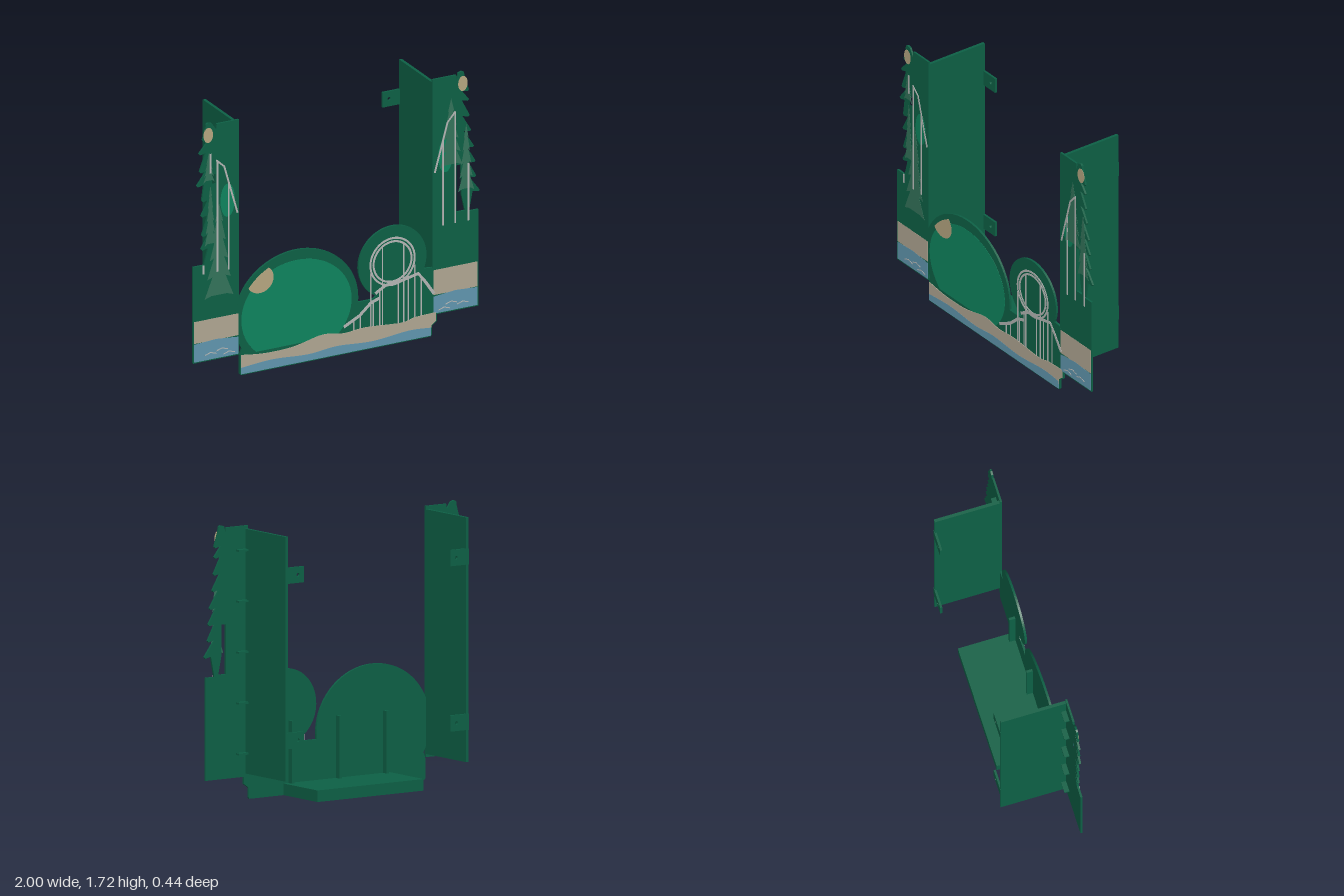
import * as THREE from 'three';

const mat = (color) => new THREE.MeshStandardMaterial({ color, roughness: 0.8 });
const M = {
  green: mat(0x0d6045), bright: mat(0x0e845e), tree: mat(0x33735a),
  sand: mat(0xb0a692), sun: mat(0xb5a680), water: mat(0x6096ae), rail: mat(0xb4b6b4),
};
const FRONT = 0.213; // front face of the plates
const V = (pts) => pts.map(([x, y]) => new THREE.Vector2(x, y));
const rect = (x0, y0, x1, y1) => [[x0, y0], [x1, y0], [x1, y1], [x0, y1]];

// Points of an elliptical arc, angles in degrees
function arc(cx, cy, rx, ry, a0 = 0, a1 = 360, n = 48) {
  const pts = [];
  for (let i = 0; i <= n; i++) {
    if (i === n && a1 - a0 === 360) break;
    const a = THREE.MathUtils.degToRad(a0 + (a1 - a0) * i / n);
    pts.push([cx + rx * Math.cos(a), cy + ry * Math.sin(a)]);
  }
  return pts;
}

// Flat plate cut from an outline, between z0 and z1
function plate(parent, name, pts, material, z0, z1, holes = []) {
  const shape = new THREE.Shape(V(pts));
  holes.forEach((h) => shape.holes.push(new THREE.Path(V(h))));
  const geo = new THREE.ExtrudeGeometry(shape, { depth: z1 - z0, bevelEnabled: false });
  const mesh = new THREE.Mesh(geo, material);
  mesh.name = name;
  mesh.position.z = z0;
  parent.add(mesh);
  return mesh;
}

function box(parent, name, x0, x1, y0, y1, z0, z1) {
  const mesh = new THREE.Mesh(new THREE.BoxGeometry(x1 - x0, y1 - y0, z1 - z0), M.green);
  mesh.position.set((x0 + x1) / 2, (y0 + y1) / 2, (z0 + z1) / 2);
  mesh.name = name;
  parent.add(mesh);
}

// Thin painted layer on the front, stacked by level
const inlay = (parent, name, pts, material, level = 1, holes = []) =>
  plate(parent, name, pts, material, FRONT - 0.002, FRONT + level * 0.0008, holes);

// Painted rail following a polyline
function rail(parent, pts, w = 0.012, level = 4) {
  const p = V(pts), up = [], down = [];
  p.forEach((q, i) => {
    const d = p[Math.min(i + 1, p.length - 1)].clone().sub(p[Math.max(i - 1, 0)]).normalize();
    up.push([q.x - d.y * w / 2, q.y + d.x * w / 2]);
    down.unshift([q.x + d.y * w / 2, q.y - d.x * w / 2]);
  });
  inlay(parent, 'rail', [...up, ...down], M.rail, level);
}

// Painted fir tree with stepped tiers
function fir(parent, cx, y0, y1, half, level = 2) {
  const side = [], n = 5;
  for (let i = 0; i < n; i++) {
    const y = y0 + (y1 - y0) * i / n, w = half * (1 - i / (n + 0.6));
    side.push([w * 0.55, y + 0.015], [w, y]);
  }
  const left = side.map(([x, y]) => [cx - x, y]).reverse();
  inlay(parent, 'paintedTree', [...side.map(([x, y]) => [cx + x, y]), [cx, y1], ...left], M.tree, level);
}

// Tower on one side; s = -1 for the model's right, +1 for its left
function tower(s, d) {
  const g = new THREE.Group();
  g.name = s < 0 ? 'rightTower' : 'leftTower';
  const flip = (pts) => pts.map(([x, y]) => [s * x, y]);
  const span = (a, b) => (s < 0 ? [-b, -a] : [a, b]);

  // Front plate with a jagged tree edge
  const edge = [[d.in, 0.14], [d.out, 0.14], [d.out, 0.78], [0.925, 0.78]];
  d.tiers.forEach(([y, x]) => edge.push([x - 0.05, y + 0.008], [x - 0.008, y - 0.002], [x, y + 0.008]));
  edge.push([d.top + 0.02, 1.68], [d.top + 0.015, 1.71], [d.top, 1.717], [d.top - 0.025, 1.71],
    [0.84, 1.665], [0.835, 1.70], [d.in, 1.70]);
  plate(g, 'towerFront', flip(edge), M.green, 0.2, FRONT, d.gaps.map(flip));

  // Side wall, rear tabs with screw holes, and clips behind the front plate
  const w = d.in;
  box(g, 'sideWall', ...span(w, w + 0.02), 0.16, 1.68, -0.22, 0.2);
  for (const y of [1.437, 0.41]) {
    plate(g, 'rearTab', flip(rect(w - 0.12, y - 0.05, w + 0.02, y + 0.05)), M.green, -0.222, -0.208,
      [arc(s * (w - 0.075), y, 0.011, 0.011, 0, 360, 16)]);
  }
  for (let i = 0; i < 5; i++) {
    const y = 0.287 + i * 0.316;
    box(g, 'clip', ...span(w + 0.02, w + 0.09), y - 0.006, y + 0.006, 0.168, 0.2);
  }

  // Painted shore, water, ripples, sun and trees
  const a = d.in + 0.006, b = d.out - 0.006;
  inlay(g, 'shore', flip(rect(a, 0.27, b, d.shore)), M.sand);
  inlay(g, 'water', flip([[a, 0.147], [b, 0.147], [b, 0.265], [(a + b) / 2, 0.275], [a, 0.26]]), M.water, 2);
  for (const [x, y] of [[0.75, 0.17], [0.88, 0.185], [0.8, 0.2]]) {
    rail(g, flip([[x - 0.04, y - 0.005], [x, y + 0.008], [x + 0.04, y - 0.005]]), 0.006);
  }
  inlay(g, 'sun', arc(s * d.sun, 1.635, 0.033, 0.05), M.sun);
  inlay(g, 'brightBush', flip(arc(0.76, 1.18, 0.05, 0.11)), M.bright);
  d.firs.forEach(([x, y0, y1, h]) => fir(g, s * x, y0, y1, h));
  d.rails.forEach((pts) => rail(g, flip(pts)));
  return g;
}

export function createModel() {
  const model = new THREE.Group();
  model.name = 'themedStand';

  model.add(tower(-1, {
    in: 0.68, out: 1.0, top: 0.895, sun: 0.895, shore: 0.415,
    tiers: [[0.88, 0.945], [0.97, 0.94], [1.1, 0.945], [1.2, 0.94], [1.305, 0.975], [1.395, 0.955], [1.515, 0.96], [1.6, 0.935]],
    gaps: [rect(0.845, 1.31, 0.868, 1.37)],
    firs: [[0.82, 0.55, 1.17, 0.1], [0.88, 0.9, 1.3, 0.04], [0.89, 1.32, 1.52, 0.04]],
    rails: [[[0.84, 1.46], [0.785, 1.41], [0.692, 1.085]], [[0.833, 0.72], [0.833, 1.45]],
      [[0.753, 0.72], [0.753, 1.3]], [[0.93, 0.72], [0.93, 0.78]], [[0.88, 1.38], [0.88, 1.51]]],
  }));
  model.add(tower(1, {
    in: 0.67, out: 0.99, top: 0.875, sun: 0.882, shore: 0.435,
    tiers: [[0.9, 1.0], [1.0, 0.975], [1.1, 0.97], [1.2, 0.96], [1.31, 0.94], [1.41, 0.93], [1.515, 0.925], [1.58, 0.925]],
    gaps: [[[0.838, 0.79], [0.895, 0.79], [0.872, 0.9], [0.87, 1.1], [0.838, 1.1]]],
    firs: [[0.8, 1.1, 1.55, 0.08], [0.905, 0.92, 1.36, 0.055]],
    rails: [[[0.685, 1.08], [0.775, 1.4], [0.83, 1.46]], [[0.743, 0.72], [0.743, 1.28]],
      [[0.828, 0.72], [0.828, 1.45]], [[0.92, 0.72], [0.92, 1.1]]],
  }));

  // Front panel: base strip, large hill and round disc in one outline
  const front = new THREE.Group();
  front.name = 'frontPanel';
  model.add(front);
  plate(front, 'panelPlate', [
    [-0.675, 0.008], [-0.667, 0], [0.657, 0], [0.665, 0.008], [0.665, 0.07], [0.70, 0.095], [0.70, 0.4],
    [0.672, 0.455], [0.61, 0.46], ...arc(0.39, 0.55, 0.238, 0.236, -22, 242), [0.25, 0.325],
    ...arc(-0.28, 0.36, 0.432, 0.397, -5, 208), [-0.675, 0.135],
  ], M.green, 0.199, FRONT + 0.0005);

  // Lit hill face and a sun clipped to its rim
  inlay(front, 'hillFace', arc(-0.28, 0.36, 0.385, 0.33, -43, 223), M.bright, 2);
  const sun = arc(-0.535, 0.61, 0.095, 0.09).map(([x, y]) => {
    const k = Math.max(1, Math.hypot((x + 0.28) / 0.405, (y - 0.36) / 0.36));
    return [-0.28 + (x + 0.28) / k, 0.36 + (y - 0.36) / k];
  });
  inlay(front, 'hillSun', sun, M.sun, 3);

  // Wavy shore and water along the base
  const wave = (pts) => new THREE.SplineCurve(V(pts)).getPoints(48).map((p) => [p.x, p.y]);
  const shoreTop = wave([[0.693, 0.155], [0.55, 0.15], [0.45, 0.132], [0.2, 0.15], [0.05, 0.14],
    [-0.1, 0.16], [-0.3, 0.12], [-0.5, 0.115], [-0.668, 0.135]]);
  const waterTop = wave([[0.658, 0.06], [0.5, 0.07], [0.25, 0.05], [0, 0.065], [-0.2, 0.05], [-0.45, 0.065], [-0.668, 0.05]]);
  inlay(front, 'frontShore', [[-0.668, 0.04], [0.658, 0.04], [0.66, 0.075], [0.693, 0.1], ...shoreTop], M.sand, 5);
  inlay(front, 'frontWater', [[-0.668, 0.007], [0.658, 0.007], ...waterTop], M.water, 6);

  // Looping track with its supports
  for (const r of [0.161, 0.139]) {
    inlay(front, 'trackLoop', arc(0.39, 0.55, r, r), M.rail, 4, [arc(0.39, 0.55, r - 0.013, r - 0.013)]);
  }
  rail(front, [[0.05, 0.18], [0.16, 0.235], [0.24, 0.305], [0.3, 0.325]], 0.02);
  rail(front, [[0.27, 0.36], [0.34, 0.4], [0.45, 0.41], [0.57, 0.435], [0.62, 0.37], [0.68, 0.28]], 0.02);
  const supports = [[0.12, 0.21], [0.165, 0.23], [0.238, 0.5], [0.255, 0.3], [0.3, 0.38], [0.32, 0.66],
    [0.43, 0.41], [0.468, 0.66], [0.5, 0.42], [0.545, 0.5], [0.59, 0.4]];
  supports.forEach(([x, y]) => rail(front, [[x, 0.13], [x, y]], 0.008));

  // Shelf behind the panel with blind holes underneath, and upright ribs
  const shelf = new THREE.Group();
  shelf.name = 'shelf';
  model.add(shelf);
  const holes = [0.35, 0.19, -0.17, -0.33].map((x) => arc(x, -0.08, 0.012, 0.012, 0, 360, 16));
  const lower = plate(shelf, 'shelfBody', rect(-0.405, -0.155, 0.4, 0.2), M.green, 0, 0.05, holes);
  lower.rotation.x = Math.PI / 2;
  lower.position.y = 0.05;
  box(shelf, 'shelfTop', -0.405, 0.4, 0.05, 0.072, -0.155, 0.2);
  for (const x of [-0.362, -0.005, 0.355]) box(shelf, 'rib', x - 0.008, x + 0.008, 0.07, 0.46, 0.16, 0.2);

  return model;
}
